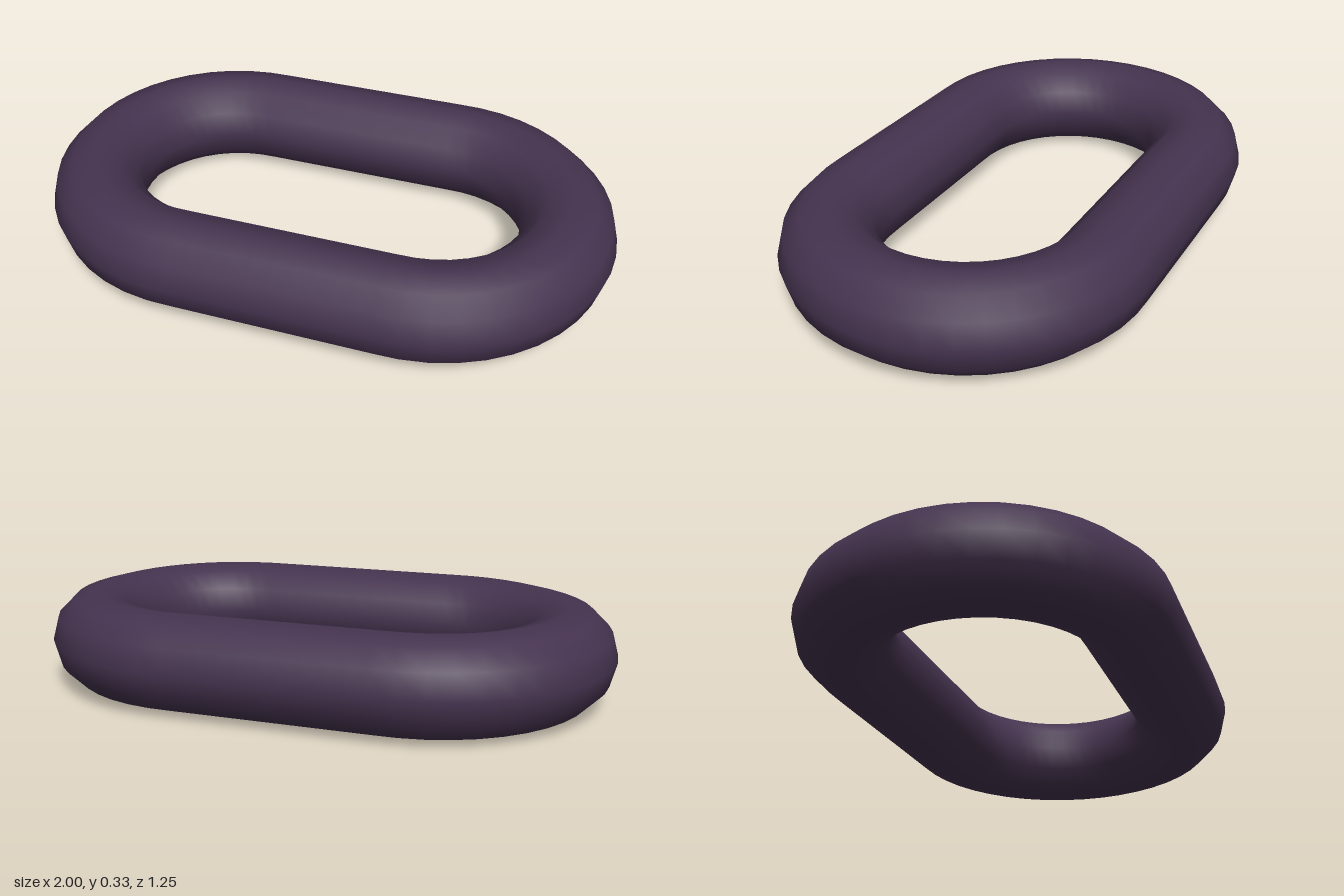
import * as THREE from 'three';

const BAR = 0.163;          // bar radius
const BEND = 0.462;         // centreline radius of the round ends
const HALF = 1 - BAR - BEND; // half length of the straight sides

// Stadium-shaped centreline lying flat: two straights joined by half circles
class LinkCurve extends THREE.Curve {
  getPoint(t, target = new THREE.Vector3()) {
    const arc = Math.PI * BEND, total = 2 * arc + 4 * HALF;
    // start at the middle of the +x end
    let s = (((t % 1) + 1) % 1) * total + arc / 2;
    s %= total;
    const side = s < total / 2 ? 1 : -1;
    if (side < 0) s -= total / 2;
    if (s < arc) {
      const a = s / BEND - Math.PI / 2;
      return target.set(side * (HALF + BEND * Math.cos(a)), BAR, side * BEND * Math.sin(a));
    }
    return target.set(side * (HALF - (s - arc)), BAR, side * BEND);
  }
}

export function createModel() {
  const group = new THREE.Group();
  group.name = 'chainLink';

  // Twelve-sided round bar bent into a closed link
  const curve = new LinkCurve();
  curve.arcLengthDivisions = 800;
  const link = new THREE.Mesh(
    new THREE.TubeGeometry(curve, 64, BAR, 12, true),
    new THREE.MeshStandardMaterial({ color: 0x45334f })
  );
  link.name = 'link';
  group.add(link);
  return group;
}
